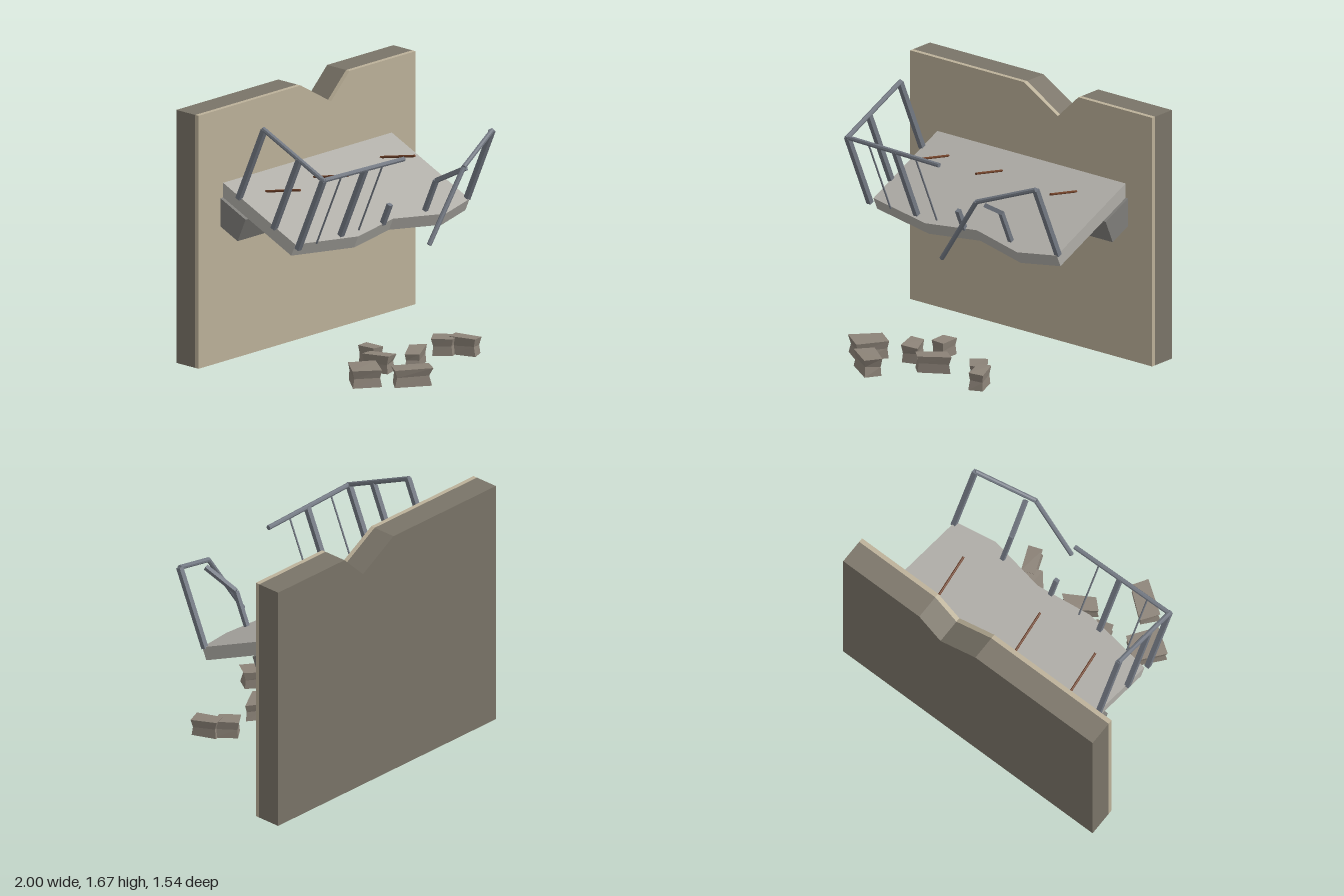
import * as THREE from 'three';

const mat = (color) => new THREE.MeshStandardMaterial({ color, flatShading: true });
const MATS = {
  plaster: mat(0xbcb199), core: mat(0x7a7468), slab: mat(0xb0aea8), beam: mat(0x7f7e7a),
  metal: mat(0x747a84), rust: mat(0x6e4028), rubble: mat(0x8c8378),
};
const TILT = THREE.MathUtils.degToRad(24);
const HINGE = new THREE.Vector3(0, 1.18, -0.58);
const SLAB_T = 0.088;

const V = (x, y, z) => new THREE.Vector3(x, y, z);
// Point given relative to the tilted slab: height above its top, distance from the wall
const onSlab = (x, h, d) => V(x, h, d).applyAxisAngle(V(1, 0, 0), TILT).add(HINGE);

function seeded(seed) {
  return () => {
    seed = (seed * 16807) % 2147483647;
    return seed / 2147483647;
  };
}

export function createModel() {
  const model = new THREE.Group();
  const add = (name, geometry, material, parent = model) => {
    const mesh = new THREE.Mesh(geometry, material);
    mesh.name = name;
    parent.add(mesh);
    return mesh;
  };

  // Wall with a broken notch: thick core and thin plaster face
  const outline = new THREE.Shape(
    [[-1, 0], [1, 0], [1, 1.67], [0.39, 1.67], [0.22, 1.505], [-0.06, 1.67], [-1, 1.67]]
      .map(([x, y]) => new THREE.Vector2(x, y)));
  const wallLayer = (name, back, front, material) => {
    const g = new THREE.ExtrudeGeometry(outline, { depth: front - back, bevelEnabled: false });
    add(name, g.translate(0, 0, back), material);
  };
  wallLayer('wallCore', -0.775, -0.61, MATS.core);
  wallLayer('wallPlaster', -0.61, -0.58, MATS.plaster);

  // Sagging balcony: slab with broken front edge, on a support beam
  const balcony = new THREE.Group();
  balcony.name = 'balcony';
  balcony.position.copy(HINGE);
  balcony.rotation.x = TILT;
  model.add(balcony);
  const edge = [[-0.775, -0.04], [-0.775, 0.69], [-0.28, 0.777], [0.1, 0.717], [0.5, 0.805], [0.78, 0.742], [0.78, -0.04]];
  const slab = new THREE.ExtrudeGeometry(
    new THREE.Shape(edge.map(([x, d]) => new THREE.Vector2(x, -d))), { depth: SLAB_T, bevelEnabled: false });
  add('slab', slab.rotateX(-Math.PI / 2).translate(0, -SLAB_T, 0), MATS.slab, balcony);
  const beam = new THREE.BoxGeometry(1.6, 0.17, 0.32);
  add('supportBeam', beam.translate(0, -SLAB_T - 0.085, 0.12), MATS.beam, balcony);

  // Straight members between two points: square posts and round rails
  const railing = new THREE.Group();
  railing.name = 'railing';
  model.add(railing);
  const place = (mesh, a, b) => {
    mesh.position.copy(a).add(b).multiplyScalar(0.5);
    mesh.quaternion.setFromUnitVectors(V(0, 1, 0), b.clone().sub(a).normalize());
  };
  const post = (name, a, b, w = 0.033) =>
    place(add(name, new THREE.BoxGeometry(w, a.distanceTo(b), w), MATS.metal, railing), a, b);
  const rod = (name, a, b, r = 0.016, material = MATS.metal, parent = railing) =>
    place(add(name, new THREE.CylinderGeometry(r, r, a.distanceTo(b), 8), material, parent), a, b);

  // Left side and front posts, thin balusters
  const H = 0.535, FRONT = 0.725;
  for (const d of [0.16, 0.495, FRONT]) post('leftPost', onSlab(-0.78, -0.01, d), onSlab(-0.78, H, d));
  post('frontPost', onSlab(-0.39, -0.01, FRONT), onSlab(-0.39, H - 0.01, FRONT));
  for (const x of [-0.61, -0.225]) rod('baluster', onSlab(x, -0.01, FRONT), onSlab(x, H - 0.01, FRONT), 0.006);
  post('brokenStub', onSlab(0, -0.01, FRONT), onSlab(0, 0.145, FRONT), 0.03);
  rod('leftRail', onSlab(-0.78, H, 0.148), onSlab(-0.78, H, FRONT + 0.012));
  rod('frontRail', onSlab(-0.79, H, FRONT), onSlab(-0.03, H - 0.022, FRONT));

  // Right corner: bent post and dangling rail
  const corner = onSlab(0.775, H, FRONT);
  const knee = V(0.385, 1.237, 0.42);
  post('rightPost', onSlab(0.775, -0.01, FRONT), corner);
  rod('bentRail', corner, knee);
  rod('danglingRail', knee, V(0.085, 0.785, 0.403));
  const bend = onSlab(0.387, 0.235, FRONT);
  post('bentPostBase', onSlab(0.387, -0.01, FRONT), bend, 0.028);
  post('bentPostTip', bend, V(0.44, 1.215, 0.39), 0.028);

  // Rusty reinforcing bars sticking up from the slab
  for (const x of [-0.55, -0.107, 0.507])
    rod('rebar', V(x, 1.108, -0.42), V(x + 0.02, 1.168, -0.14), 0.008, MATS.rust, model);

  // Rubble: four plan corners each, pinched at mid height
  const rubble = new THREE.Group();
  rubble.name = 'rubble';
  model.add(rubble);
  const plans = [
    [[-0.52, 0.26], [-0.37, 0.37], [-0.5, 0.55], [-0.66, 0.44]],
    [[-0.33, 0.21], [-0.235, 0.19], [-0.16, 0.35], [-0.27, 0.385]],
    [[-0.38, 0.51], [-0.19, 0.66], [-0.255, 0.76], [-0.465, 0.62]],
    [[-0.2, 0.05], [-0.1, 0.03], [-0.095, 0.175], [-0.19, 0.18]],
    [[-0.14, 0.4], [0.03, 0.28], [0.12, 0.35], [-0.07, 0.47]],
    [[0.22, 0.29], [0.315, 0.22], [0.42, 0.35], [0.31, 0.4]],
    [[0.33, 0.34], [0.42, 0.315], [0.49, 0.48], [0.395, 0.515]],
  ];
  const rand = seeded(41);
  plans.forEach((plan, i) => {
    const cx = plan.reduce((s, p) => s + p[0], 0) / 4;
    const cz = plan.reduce((s, p) => s + p[1], 0) / 4;
    // Inset and height for each corner at the bottom, waist and top
    const rings = [0, 1, 2].map((level) => plan.map(() => ({
      inset: [0.9, 0.8, 0.94][level] + rand() * 0.08,
      y: [0, 0.055, 0.107][level] + (level ? rand() * 0.012 : 0),
    })));
    const g = new THREE.BoxGeometry(1, 1, 1, 1, 2, 1);
    const p = g.attributes.position;
    for (let v = 0; v < p.count; v++) {
      const c = p.getZ(v) < 0 ? (p.getX(v) < 0 ? 0 : 1) : (p.getX(v) < 0 ? 3 : 2);
      const { inset, y } = rings[Math.round((p.getY(v) + 0.5) * 2)][c];
      p.setXYZ(v, cx + (plan[c][0] - cx) * inset, y, cz + (plan[c][1] - cz) * inset);
    }
    g.computeVertexNormals();
    add('rubbleChunk' + (i + 1), g, MATS.rubble, rubble);
  });

  return model;
}
